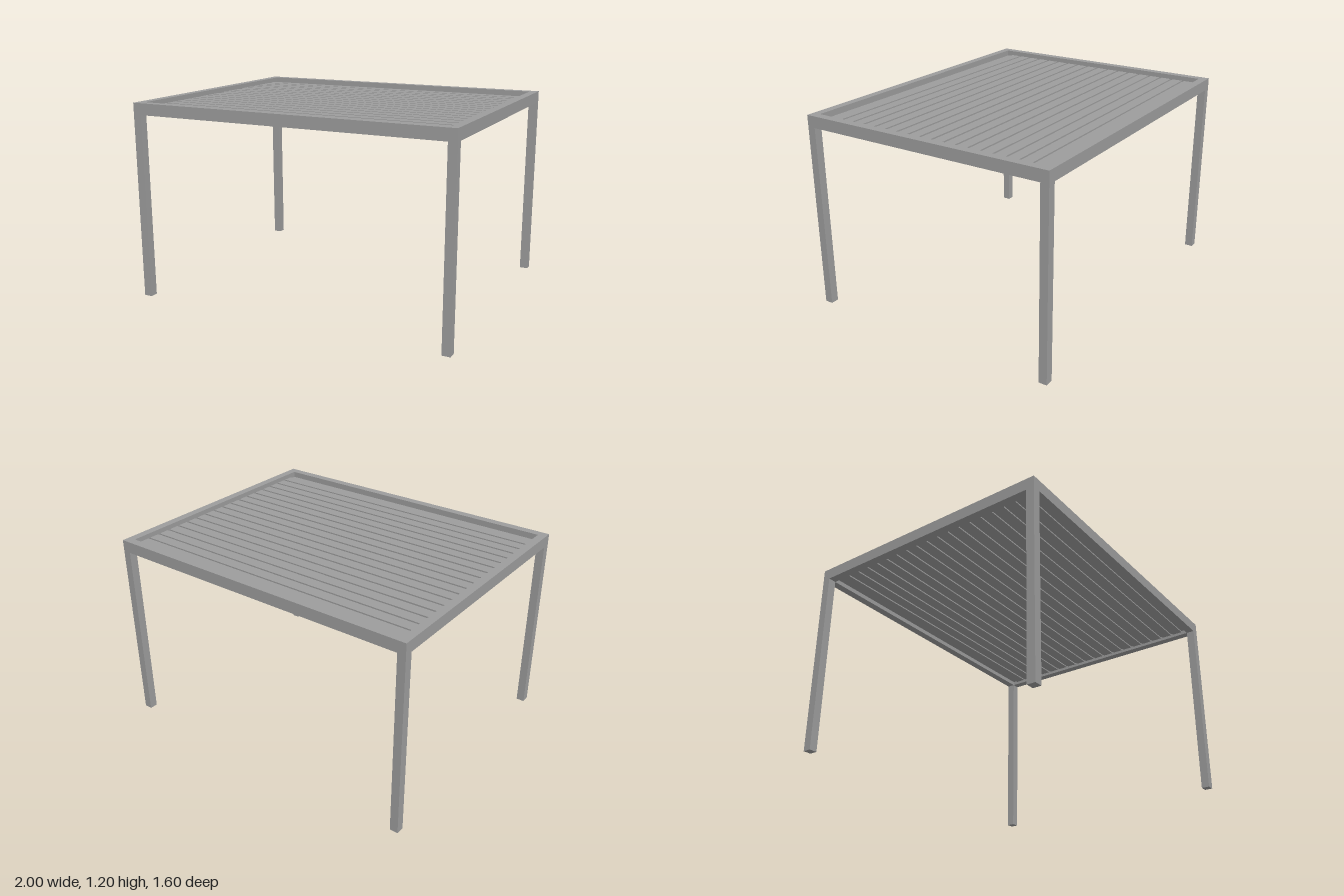
import * as THREE from 'three';

export function createModel() {
  const group = new THREE.Group();
  const metal = new THREE.MeshStandardMaterial({ color: 0x9c9c9c });
  metal.name = 'grey metal';

  const box = (name, w, h, d, x, y, z) => {
    const mesh = new THREE.Mesh(new THREE.BoxGeometry(w, h, d), metal);
    mesh.name = name;
    mesh.position.set(x, y, z);
    group.add(mesh);
  };

  const top = 1.2, beamH = 0.07, post = 0.05, halfX = 1, halfZ = 0.8;
  const beamY = top - beamH;

  // Corner posts
  for (const sx of [-1, 1]) {
    for (const sz of [-1, 1]) {
      box('post', post, beamY, post, sx * (halfX - post / 2), beamY / 2, sz * (halfZ - post / 2));
    }
  }

  // Rectangular roof frame with an open centre
  const rect = (path, x, z) =>
    path.moveTo(-x, -z).lineTo(x, -z).lineTo(x, z).lineTo(-x, z).closePath();
  const outline = rect(new THREE.Shape(), halfX, halfZ);
  outline.holes.push(rect(new THREE.Path(), halfX - post, halfZ - post));
  const frameGeo = new THREE.ExtrudeGeometry(outline, { depth: beamH, bevelEnabled: false });
  frameGeo.rotateX(-Math.PI / 2);
  const frame = new THREE.Mesh(frameGeo, metal);
  frame.name = 'roofFrame';
  frame.position.y = beamY;
  group.add(frame);

  // Thin overlapping lips that close the grooves between louvres
  const innerX = 2 * (halfX - post), innerZ = 2 * (halfZ - post);
  box('louvreLips', innerX, 0.006, innerZ, 0, 1.16, 0);

  // Louvres across the full width
  const pitch = 0.08, width = 0.065, count = 18;
  for (let i = 0; i < count; i++) {
    box('louvre', innerX, 0.022, width, 0, 1.16, -0.715 + width / 2 + i * pitch);
  }

  return group;
}
